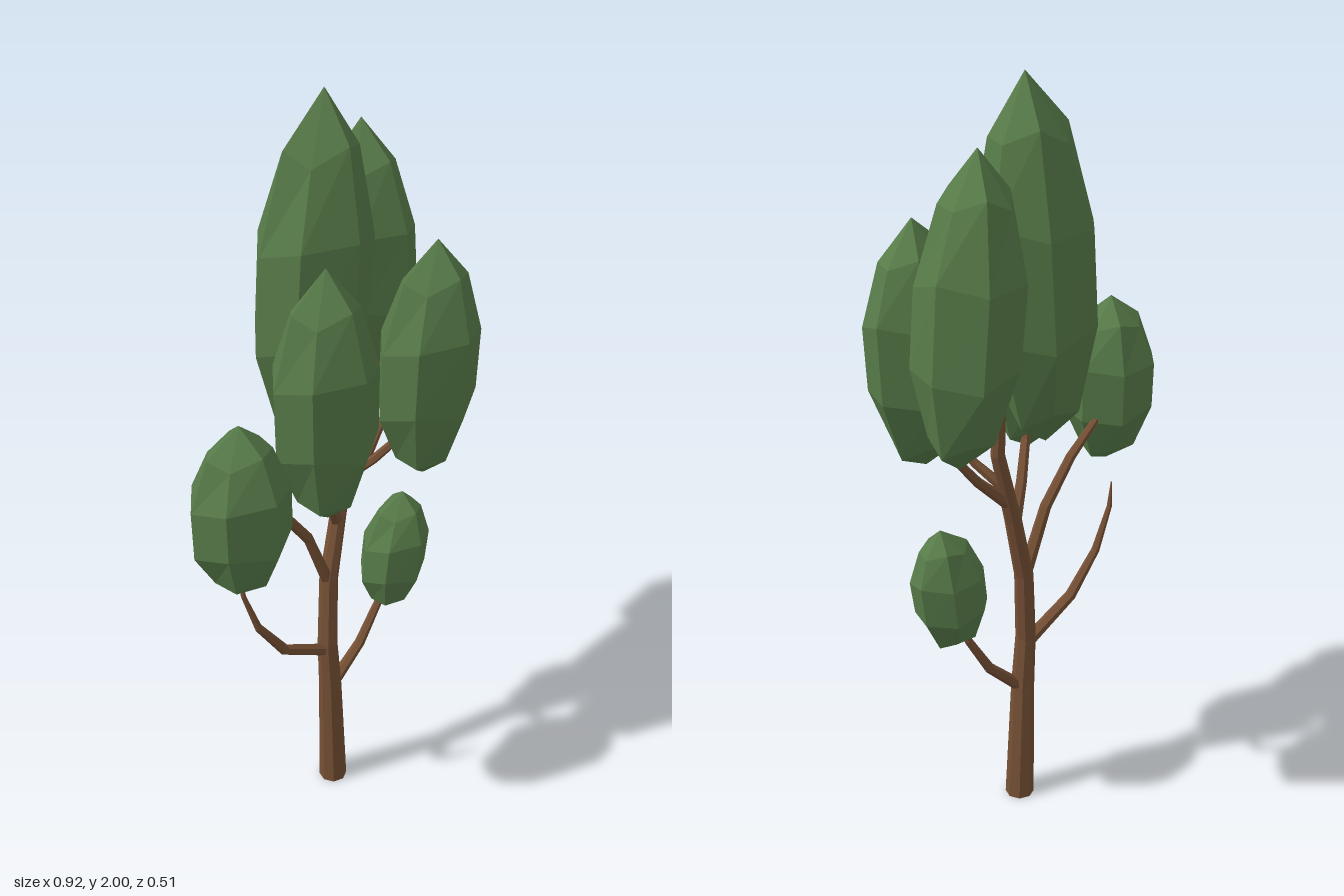
import * as THREE from 'three';

const bark = new THREE.MeshStandardMaterial({ color: 0x765035 });
bark.name = 'bark brown';
const leaf = new THREE.MeshStandardMaterial({ color: 0x577b49 });
leaf.name = 'leaf green';

const V = (p) => new THREE.Vector3(...p);

// Faceted closed skin through rings, with a point at each end
function loft(start, rings, end) {
  const pos = [];
  const tri = (...pts) => pts.forEach((p) => pos.push(p.x, p.y, p.z));
  const n = rings[0].length;
  const last = rings[rings.length - 1];
  for (let i = 0; i < n; i++) {
    const j = (i + 1) % n;
    tri(start, rings[0][i], rings[0][j]);
    for (let k = 0; k < rings.length - 1; k++) {
      const a = rings[k], b = rings[k + 1];
      tri(a[i], b[i], a[j]);
      tri(a[j], b[i], b[j]);
    }
    tri(end, last[j], last[i]);
  }
  const g = new THREE.BufferGeometry();
  g.setAttribute('position', new THREE.Float32BufferAttribute(pos, 3));
  g.computeVertexNormals();
  return g;
}

// Tapered limb along a bent path; each point is x, y, z, radius
function limb(name, path, sides) {
  const pts = path.map(V4 => V(V4.slice(0, 3)));
  const rings = pts.map((p, k) => {
    const t = pts[Math.min(k + 1, pts.length - 1)].clone().sub(pts[Math.max(k - 1, 0)]).normalize();
    if (k === 0 && p.y === 0) t.set(0, 1, 0);
    const v = new THREE.Vector3(0, 0, 1).addScaledVector(t, -t.z).normalize();
    const u = t.clone().cross(v);
    return Array.from({ length: sides }, (_, i) => {
      const a = (i / sides) * Math.PI * 2;
      return p.clone().addScaledVector(u, Math.cos(a) * path[k][3]).addScaledVector(v, Math.sin(a) * path[k][3]);
    });
  });
  const mesh = new THREE.Mesh(loft(pts[0], rings, pts[pts.length - 1]), bark);
  mesh.name = name;
  return mesh;
}

// Uneven seven-sided crown outline (x, z) and its width by height
const OUTLINE = [[-0.42, -0.95], [0.45, -0.97], [1, -0.3], [0.78, 0.55], [0, 1], [-0.8, 0.5], [-1, -0.27]];
const PROFILE = [[0.1, 0.6], [0.33, 0.97], [0.62, 0.98], [0.85, 0.63]];

// Leaf crown from its lowest to its highest point
function crown(name, bottom, top, rx, rz) {
  const b = V(bottom), t = V(top);
  const rings = PROFILE.map(([h, w], k) => {
    const c = b.clone().lerp(t, h);
    return OUTLINE.map(([x, z], i) => {
      const wobble = 0.025 * Math.sin(i * 2.4 + k * 1.7) * (t.y - b.y);
      return new THREE.Vector3(c.x + x * rx * w, c.y + wobble, c.z + z * rz * w);
    });
  });
  const mesh = new THREE.Mesh(loft(b, rings, t), leaf);
  mesh.name = name;
  return mesh;
}

export function createModel() {
  const tree = new THREE.Group();
  tree.name = 'tree';

  // Trunk
  tree.add(limb('trunk', [
    [0.04, 0, 0, 0.039], [0.027, 0.35, 0, 0.031], [0.021, 0.5, -0.005, 0.027],
    [0.04, 0.7, -0.018, 0.025], [0.085, 0.88, -0.025, 0.022],
    [0.145, 1.08, -0.035, 0.018], [0.15, 1.32, -0.06, 0.01]], 8));

  // Branches
  const branches = {
    bareBranch: [[0.02, 0.475, -0.005, 0.018], [-0.135, 0.565, -0.02, 0.015], [-0.215, 0.68, -0.035, 0.011],
      [-0.255, 0.8, -0.045, 0.007], [-0.261, 0.87, -0.045, 0.002]],
    lowRightBranch: [[0.03, 0.34, 0, 0.017], [0.135, 0.44, 0.015, 0.014], [0.2, 0.55, 0.025, 0.011], [0.23, 0.66, 0.035, 0.005]],
    leftBranch: [[0.035, 0.7, -0.018, 0.018], [-0.035, 0.87, -0.022, 0.015], [-0.12, 0.985, -0.028, 0.013],
      [-0.2, 1.05, -0.028, 0.01], [-0.27, 1.09, -0.02, 0.005]],
    middleBranch: [[0.08, 0.86, -0.025, 0.017], [0.03, 0.955, 0, 0.014], [-0.02, 1.05, 0.035, 0.012], [-0.05, 1.16, 0.06, 0.006]],
    rightBranch: [[0.105, 0.93, -0.028, 0.016], [0.2, 1.02, -0.02, 0.013], [0.27, 1.1, -0.025, 0.011], [0.3, 1.24, -0.07, 0.005]],
    frontBranch: [[0.12, 0.98, -0.03, 0.015], [0.16, 1.04, 0.03, 0.012], [0.2, 1.12, 0.09, 0.01], [0.22, 1.2, 0.12, 0.005]],
  };
  for (const [name, path] of Object.entries(branches)) tree.add(limb(name, path, 6));

  // Leaf crowns
  tree.add(
    crown('topCrown', [0.035, 1.1, -0.09], [0.105, 2, -0.09], 0.165, 0.135),
    crown('rightBackCrown', [0.35, 1.14, -0.125], [0.29, 1.87, -0.135], 0.136, 0.131),
    crown('middleCrown', [-0.07, 1, 0.075], [-0.085, 1.68, 0.08], 0.149, 0.122),
    crown('frontCrown', [0.22, 1.02, 0.143], [0.245, 1.655, 0.14], 0.155, 0.114),
    crown('leftCrown', [-0.32, 0.9, 0.03], [-0.32, 1.36, 0.025], 0.138, 0.114),
    crown('lowRightCrown', [0.225, 0.54, 0.042], [0.27, 0.89, 0.042], 0.108, 0.084),
  );
  return tree;
}
